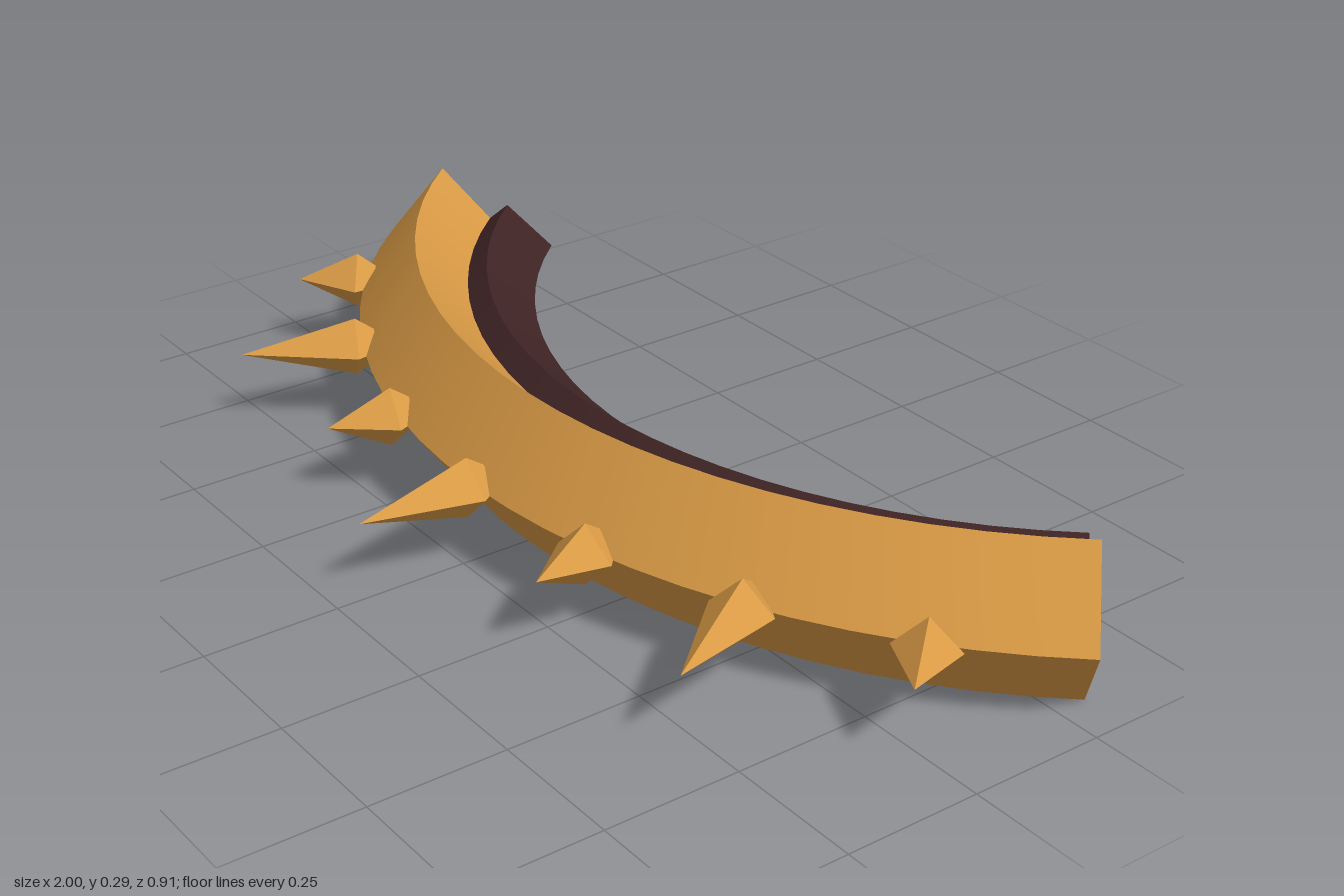
import * as THREE from 'three';
import { toCreasedNormals } from 'three/addons/utils/BufferGeometryUtils.js';

const HALF = THREE.MathUtils.degToRad(50); // half of the arc
const MID_Y = 0.145;
const CENTER_Z = -1.078; // centre of the arc

export function createModel() {
  const model = new THREE.Group();
  const gold = new THREE.MeshStandardMaterial({ color: 0xd99a45 });
  gold.name = 'gold';
  const darkBrown = new THREE.MeshStandardMaterial({ color: 0x402425 });
  darkBrown.name = 'darkBrown';

  const body = new THREE.Group();
  body.name = 'collar';
  body.position.set(0, MID_Y, CENTER_Z);
  model.add(body);

  const add = (name, geometry, material, parent = body) => {
    const mesh = new THREE.Mesh(geometry, material);
    mesh.name = name;
    parent.add(mesh);
    return mesh;
  };

  // Diamond section swept along the arc, closed at both ends
  const addBand = (name, inner, ridge, outer, height, material) => {
    const band = new THREE.Group();
    band.name = name;
    body.add(band);
    const section = [[ridge, -height], [outer, 0], [ridge, height], [inner, 0]]
      .map(([r, y]) => new THREE.Vector2(r, y));
    const sweep = new THREE.LatheGeometry([...section, section[0]], 24, -HALF, 2 * HALF);
    add(name + 'Arc', toCreasedNormals(sweep, Math.PI / 6), material, band);
    for (const side of [-1, 1]) {
      const shape = new THREE.Shape(section.map(p => new THREE.Vector2(-side * p.x, p.y)));
      const cap = new THREE.ShapeGeometry(shape);
      cap.rotateY(side * (HALF + Math.PI / 2));
      add(name + 'End', cap, material, band);
    }
  };
  addBand('outerBand', 1.05, 1.195, 1.305, 0.145, gold);
  addBand('innerLining', 0.968, 1.06, 1.15, 0.079, darkBrown);

  // Four-sided spikes, alternating long and short
  for (let i = -3; i <= 3; i++) {
    const length = i % 2 === 0 ? 0.212 : 0.117;
    const profile = [[0, -0.035], [0.033, -0.035], [0.057, 0], [0, length]]
      .map(([r, y]) => new THREE.Vector2(r, y));
    const geometry = toCreasedNormals(new THREE.LatheGeometry(profile, 4), 0.2);
    geometry.rotateX(Math.PI / 2);
    geometry.translate(0, 0, 1.318);
    add('spike', geometry, gold).rotation.y = THREE.MathUtils.degToRad(12.9 * i);
  }
  return model;
}
